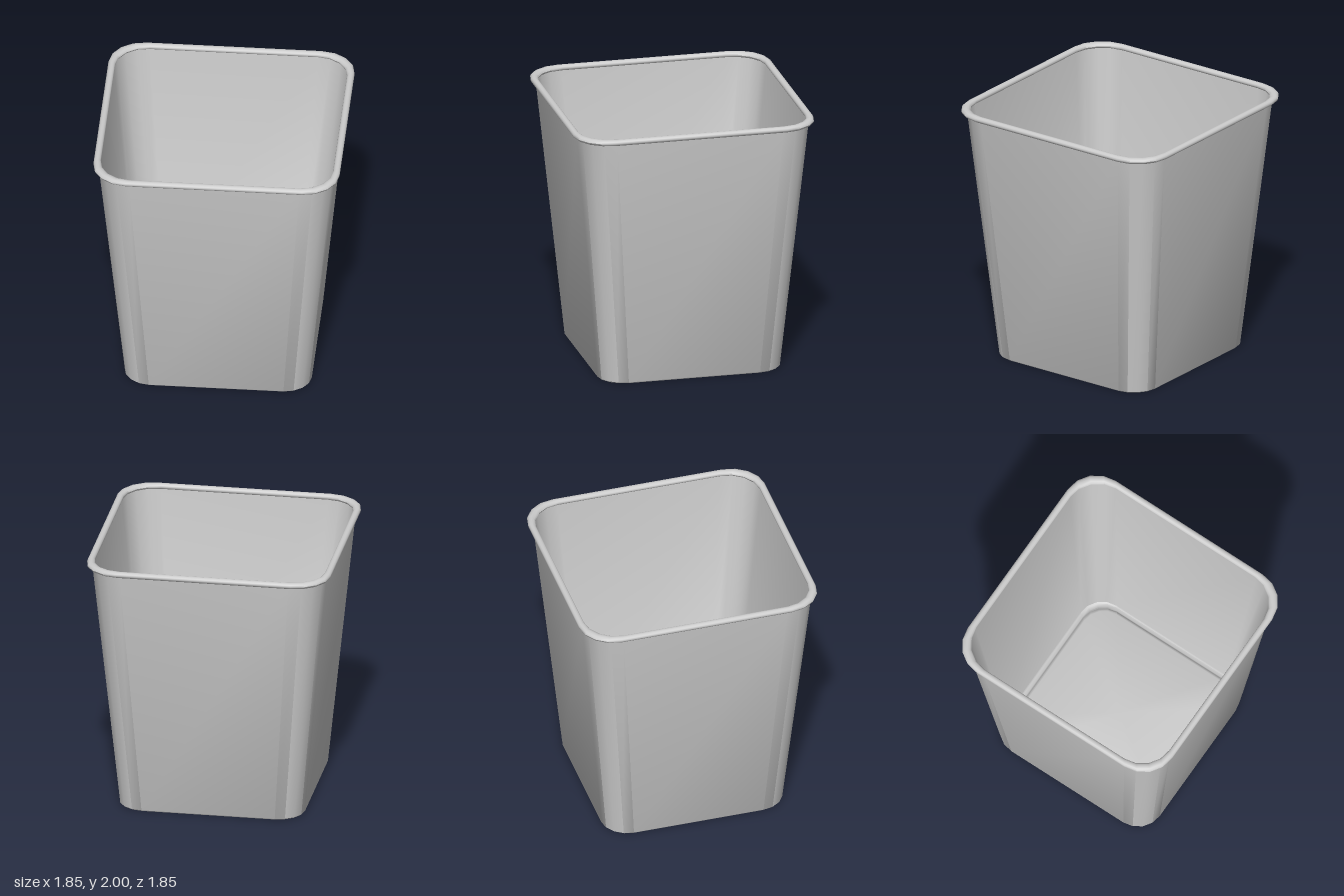
import * as THREE from 'three';
import { toCreasedNormals } from 'three/addons/utils/BufferGeometryUtils.js';

const CORNER = 0.28; // corner radius as a share of the half width
const STEPS = 4; // segments per rounded corner

// Unit rounded square, anticlockwise seen from above
function unitOutline() {
  const pts = [];
  for (let q = 0; q < 4; q++) {
    const mid = Math.PI / 4 + q * Math.PI / 2;
    const cx = Math.sign(Math.cos(mid)) * (1 - CORNER);
    const cz = Math.sign(Math.sin(mid)) * (1 - CORNER);
    for (let s = 0; s <= STEPS; s++) {
      const a = (q + s / STEPS) * Math.PI / 2;
      pts.push([cx + CORNER * Math.cos(a), -(cz + CORNER * Math.sin(a))]);
    }
  }
  return pts;
}

// Sweep a [half width, height] profile around the rounded square
function sweep(name, profile, material) {
  const outline = unitOutline(), n = outline.length;
  const pos = [], idx = [];
  for (const [h, y] of profile) for (const [x, z] of outline) pos.push(x * h, y, z * h);
  for (let i = 0; i < profile.length - 1; i++) {
    for (let j = 0; j < n; j++) {
      const k = (j + 1) % n;
      const a = i * n + j, b = i * n + k, c = b + n, d = a + n;
      if (profile[i][0] > 0) idx.push(a, b, c);
      if (profile[i + 1][0] > 0) idx.push(a, c, d);
    }
  }
  const geo = new THREE.BufferGeometry();
  geo.setAttribute('position', new THREE.Float32BufferAttribute(pos, 3));
  geo.setIndex(idx);
  const mesh = new THREE.Mesh(toCreasedNormals(geo, 0.7), material);
  mesh.name = name;
  return mesh;
}

export function createModel() {
  const group = new THREE.Group();
  group.name = 'wasteBin';
  const material = new THREE.MeshStandardMaterial({ color: 0xcccccc, side: THREE.DoubleSide });

  // Thin tapered shell: recessed underside, foot, outer wall, inner wall, raised floor
  group.add(sweep('binBody', [
    [0, 0.03], [0.625, 0.03], [0.64, 0.025], [0.65, 0.006], [0.66, 0],
    [0.695, 0], [0.702, 0.008], [0.891, 1.975],
    [0.882, 1.975], [0.694, 0.02], [0.685, 0.011],
    [0.663, 0.011], [0.655, 0.016], [0.645, 0.034], [0.63, 0.04], [0, 0.04],
  ], material));

  // Rounded lip around the opening
  const lip = [];
  for (let i = 0; i <= 12; i++) {
    const a = i / 12 * Math.PI * 2;
    lip.push([0.897 + 0.027 * Math.cos(a), 1.977 + 0.023 * Math.sin(a)]);
  }
  group.add(sweep('rimLip', lip, material));

  return group;
}
